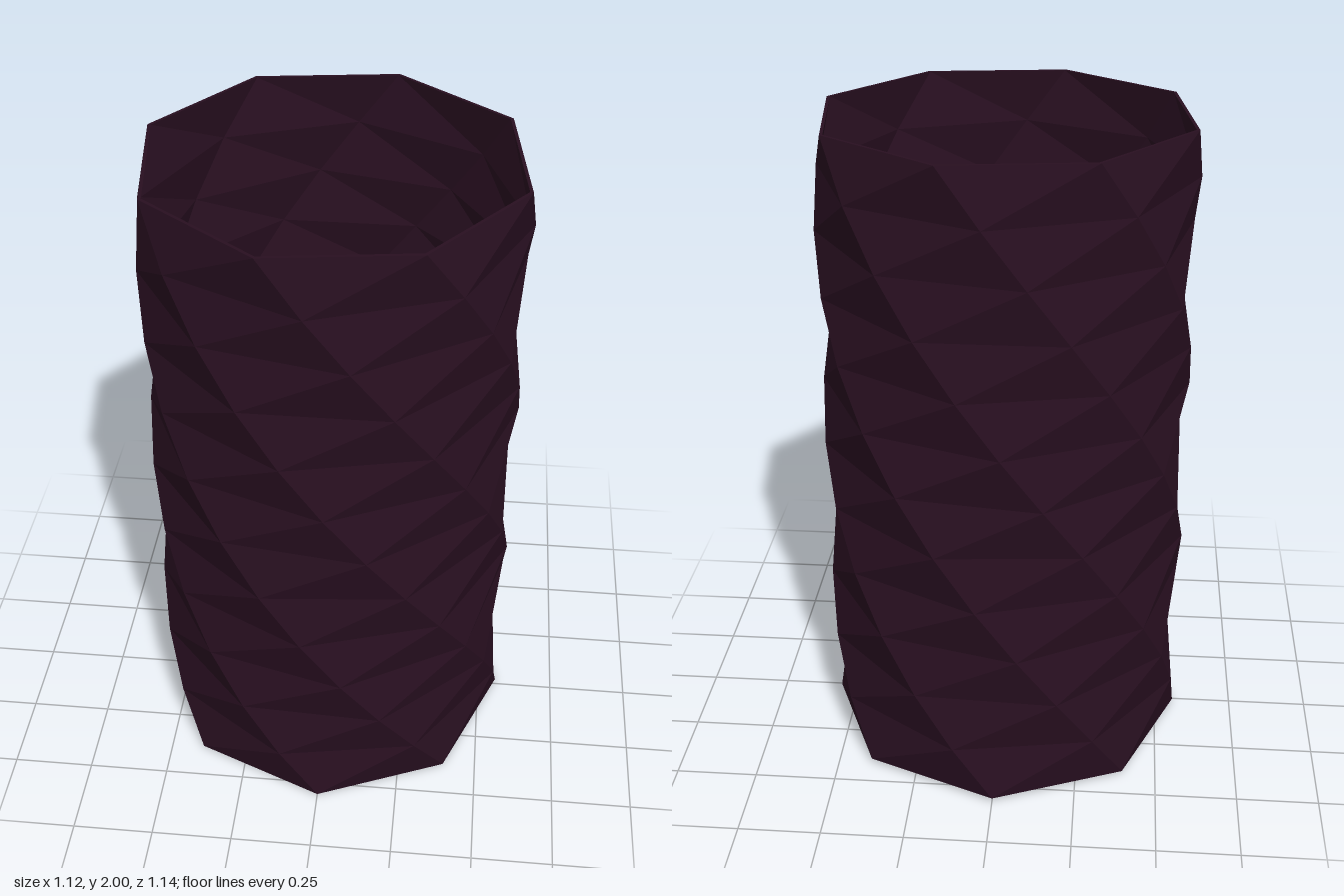
import * as THREE from 'three';

const SIDES = 8, LAYERS = 12, HEIGHT = 1.985, RADIUS = 0.56, WALL = 0.01;
const TOP_ANGLE = Math.PI / 6, TWIST = (150 * Math.PI) / 180;
const UP = new THREE.Vector3(0, 1, 0);

// Turns every vertex about the y axis, further the lower it sits
function twist(geometry) {
  const pos = geometry.attributes.position;
  const v = new THREE.Vector3();
  for (let i = 0; i < pos.count; i++) {
    v.fromBufferAttribute(pos, i);
    v.applyAxisAngle(UP, TOP_ANGLE + TWIST * (0.5 - v.y / HEIGHT));
    pos.setXYZ(i, v.x, v.y, v.z);
  }
  geometry.computeVertexNormals();
  return geometry;
}

function tube(radius) {
  return twist(new THREE.CylinderGeometry(radius, radius, HEIGHT, SIDES, LAYERS, true));
}

// Lays a flat shape horizontally at height y, facing up or down
function level(geometry, y, faceUp = true) {
  return twist(geometry.rotateX(faceUp ? -Math.PI / 2 : Math.PI / 2).translate(0, y, 0));
}

export function createModel() {
  const group = new THREE.Group();
  group.name = 'twistedCup';
  const material = new THREE.MeshStandardMaterial({ color: 0x280f20, flatShading: true });
  const insideMaterial = material.clone();
  insideMaterial.side = THREE.BackSide;

  // The cup leans very slightly forwards about its middle
  const cup = new THREE.Group();
  cup.name = 'cup';
  cup.position.y = 1;
  cup.rotation.x = 0.0136;
  group.add(cup);

  const add = (name, geometry, mat = material) => {
    const mesh = new THREE.Mesh(geometry, mat);
    mesh.name = name;
    cup.add(mesh);
  };

  // Faceted wall, outside and inside
  const inner = RADIUS - WALL;
  add('outerWall', tube(RADIUS));
  add('innerWall', tube(inner), insideMaterial);

  // Thin lip joining both walls
  add('rim', level(new THREE.RingGeometry(inner, RADIUS, SIDES), HEIGHT / 2));

  // Floor and underside
  add('floor', level(new THREE.CircleGeometry(inner, SIDES), -HEIGHT / 2 + WALL));
  add('base', level(new THREE.CircleGeometry(RADIUS, SIDES), -HEIGHT / 2, false));

  return group;
}
